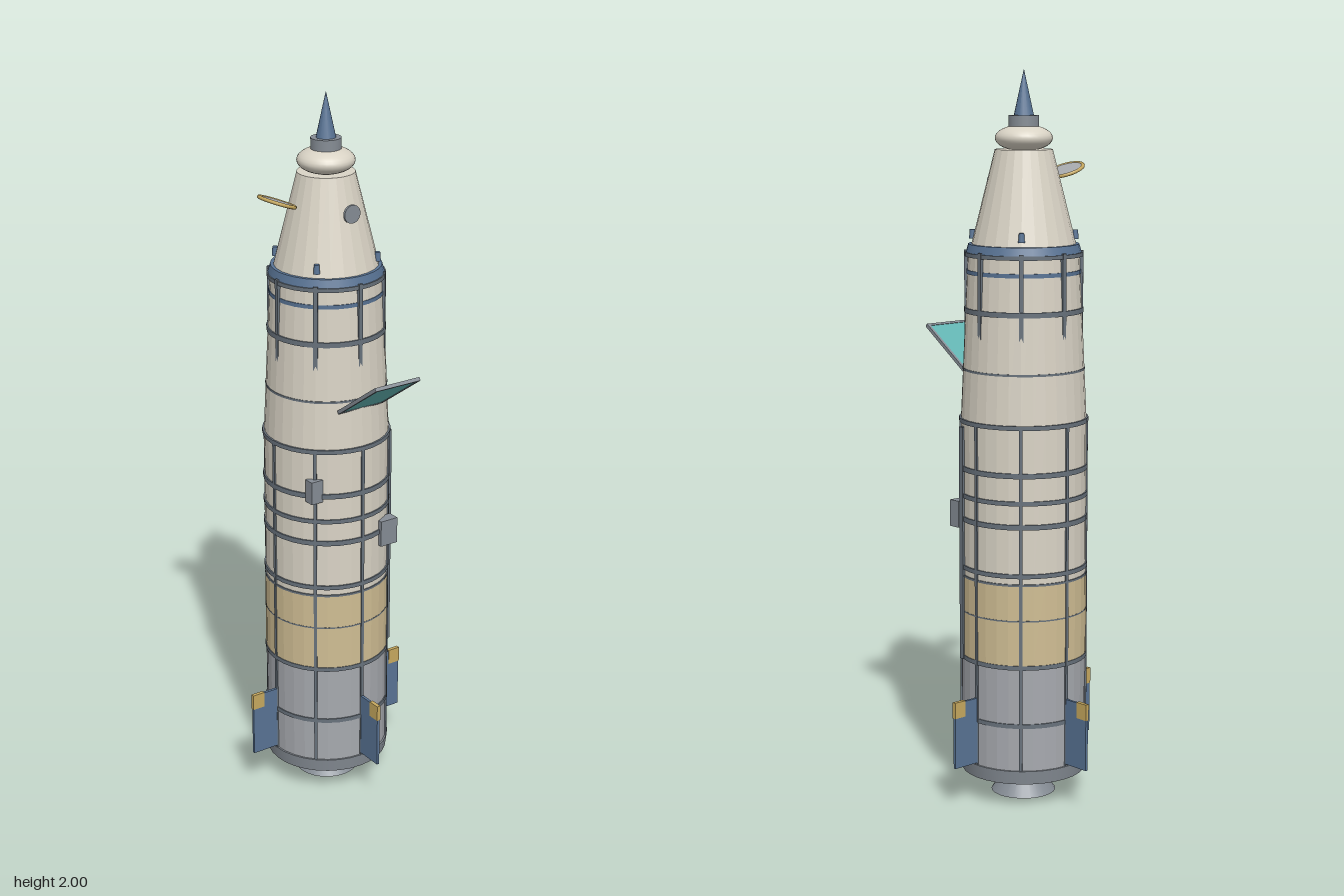
import * as THREE from 'three';

const mat = (name, color, flat = false) => {
  const m = new THREE.MeshStandardMaterial({ color, flatShading: flat });
  m.name = name;
  return m;
};

export function createModel() {
  const cream = mat('cream hull', 0xd9d3c5, true);
  const dome = mat('cream dome', 0xd9d3c5);
  const tan = mat('tan insulation', 0xcfbd93, true);
  const grey = mat('light grey', 0xa6a9ae, true);
  const steel = mat('steel grey', 0x858c94);
  const trim = mat('dark trim', 0x68727c);
  const blue = mat('slate blue', 0x587394);
  const gold = mat('gold', 0xc6a85e);
  const teal = mat('teal solar cells', 0x62b3b1);

  const root = new THREE.Group();
  root.name = 'rocket';
  const rocket = new THREE.Group(); // everything arranged around the long axis
  rocket.name = 'rocketBody';
  rocket.position.z = -0.037;
  root.add(rocket);

  const add = (name, geo, m, x = 0, y = 0, z = 0, parent = rocket) => {
    const mesh = new THREE.Mesh(geo, m);
    mesh.name = name;
    mesh.position.set(x, y, z);
    parent.add(mesh);
    return mesh;
  };
  // Round section from y0 to y1 with bottom and top radius
  const section = (name, y0, y1, r0, r1, m, sides = 32) =>
    add(name, new THREE.CylinderGeometry(r1, r0, y1 - y0, sides), m, 0, (y0 + y1) / 2, 0);
  const box = (name, w, h, d, m, x, y, z, parent) =>
    add(name, new THREE.BoxGeometry(w, h, d), m, x, y, z, parent);
  const around = (count, start, build) => {
    for (let i = 0; i < count; i++) {
      const g = new THREE.Group();
      g.rotation.y = start + (i * Math.PI * 2) / count;
      rocket.add(g);
      build(g);
    }
  };

  // Engine
  section('engineNozzle', 0, 0.075, 0.09, 0.037, steel, 24);
  section('basePlate', 0.07, 0.108, 0.172, 0.177, steel);

  // Hull sections
  section('engineSection', 0.105, 0.4, 0.172, 0.172, grey);
  section('insulationSection', 0.4, 0.63, 0.174, 0.174, tan);
  section('mainTank', 0.63, 1.06, 0.172, 0.172, cream);
  section('upperStage', 1.06, 1.52, 0.172, 0.151, cream);

  // Hoops around the hull: [y, height, radius]
  [[0.235, 0.012, 0.175], [0.4, 0.012, 0.176], [0.53, 0.004, 0.1745], [0.63, 0.006, 0.175],
    [0.655, 0.012, 0.176], [0.79, 0.014, 0.176], [0.855, 0.012, 0.176], [0.93, 0.014, 0.176],
    [1.06, 0.012, 0.177], [1.2, 0.006, 0.167], [1.36, 0.014, 0.162],
  ].forEach(([y, h, r]) => section('hoop', y - h / 2, y + h / 2, r, r, trim));
  section('blueHoop', 1.458, 1.469, 0.1555, 0.1555, blue);
  section('adapterLowerRing', 1.505, 1.516, 0.16, 0.16, trim);
  section('adapterRing', 1.514, 1.538, 0.157, 0.15, blue);

  // Lengthwise stringers and the upright rails of the upper stage
  around(8, 0, (g) => {
    box('stringer', 0.009, 0.95, 0.008, trim, 0, 0.58, 0.172, g);
    box('upperRail', 0.012, 0.33, 0.012, trim, 0, 1.355, 0.155, g);
  });

  // Cable conduit on the left side
  box('conduit', 0.016, 0.65, 0.014, trim, 0.158, 0.72, 0.072);

  // Fins with gold tips
  around(4, 0, (g) => {
    box('fin', 0.008, 0.185, 0.095, blue, 0, 0.2075, 0.2075, g);
    box('finTip', 0.011, 0.045, 0.037, gold, 0, 0.28, 0.238, g);
  });

  // Crew capsule and nose
  section('capsule', 1.535, 1.79, 0.142, 0.078, cream, 24);
  const cap = add('capsuleDome', new THREE.SphereGeometry(0.078, 32, 16), dome, 0, 1.82, 0);
  cap.scale.y = 0.46;
  section('noseCollar', 1.845, 1.88, 0.041, 0.041, steel, 24);
  section('noseCone', 1.875, 2, 0.028, 0.0005, blue, 16);
  around(4, Math.PI / 4, (g) => {
    add('thruster', new THREE.CylinderGeometry(0.007, 0.009, 0.025, 12), blue, 0, 1.563, 0.139, g);
  });

  // Round hatch window on the front
  const hatch = add('hatchWindow', new THREE.CylinderGeometry(0.025, 0.025, 0.007, 20), steel, 0, 1.7, 0.118);
  hatch.rotation.x = Math.PI / 2;

  // Tilted dish antenna on the right side
  const dish = new THREE.Group();
  dish.name = 'dishAntenna';
  dish.position.set(-0.155, 1.73, 0);
  dish.rotation.z = -0.36;
  rocket.add(dish);
  add('dishFace', new THREE.CylinderGeometry(0.049, 0.049, 0.005, 32), grey, 0, 0, 0, dish);
  const rim = add('dishRim', new THREE.TorusGeometry(0.049, 0.005, 8, 32), gold, 0, 0, 0, dish);
  rim.rotation.x = Math.PI / 2;

  // Solar panel slanting up and out from the front
  const panel = new THREE.Group();
  panel.name = 'solarPanel';
  panel.position.set(0, 1.233, 0.205);
  panel.rotation.x = -0.61;
  root.add(panel);
  box('solarCells', 0.13, 0.007, 0.192, teal, 0, 0, 0, panel);
  for (const s of [-1, 1]) {
    box('panelSideFrame', 0.008, 0.01, 0.206, steel, s * 0.068, 0, 0, panel);
    box('panelEndFrame', 0.144, 0.01, 0.008, steel, 0, 0, s * 0.099, panel);
  }

  // Equipment boxes on the front of the tank
  box('equipmentBoxRight', 0.037, 0.065, 0.03, steel, -0.1245, 0.947, 0.085, root);
  box('equipmentBoxLeft', 0.055, 0.075, 0.035, steel, 0.0925, 0.785, 0.117, root);

  return root;
}
